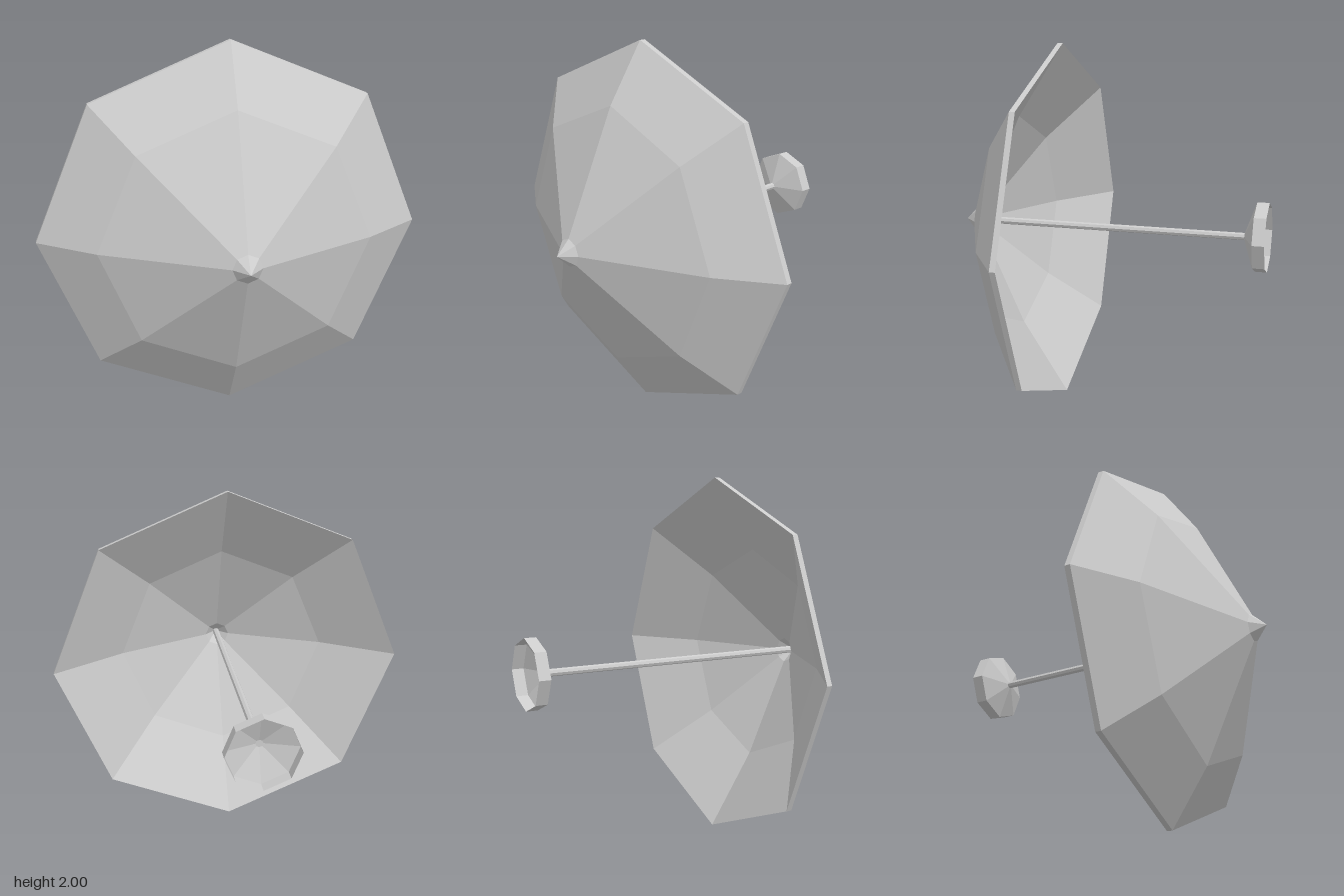
import * as THREE from 'three';

const SIDES = 8;

// Octagonal turned part around the z axis; profile points are [radius, z],
// listed from low to high z along the outside.
function turned(name, profile, side = THREE.FrontSide) {
  const points = profile.map(([r, z]) => new THREE.Vector2(r, z));
  const geometry = new THREE.LatheGeometry(points, SIDES);
  geometry.rotateX(Math.PI / 2);
  const material = new THREE.MeshStandardMaterial({ color: 0xcccccc, flatShading: true, side });
  const mesh = new THREE.Mesh(geometry, material);
  mesh.name = name;
  mesh.position.y = 1;
  return mesh;
}

export function createModel() {
  const model = new THREE.Group();
  model.name = 'parasol';

  // Shell: hollow inside first, then the rim band and the outer panels
  model.add(turned('canopy', [
    [0, 0.84], [0.07, 0.77], [0.6, 0.53], [1, 0.27],
    [1, 0.3], [0.7, 0.5], [0.075, 0.79],
  ]));

  // Pointed tip
  model.add(turned('finial', [[0.075, 0.79], [0, 0.865]]));

  // Straight pole, closed at both ends
  model.add(turned('shaft', [[0, -0.74], [0.02, -0.74], [0.02, 0.82], [0, 0.82]]));

  // Open, thin-walled cup at the end of the pole
  model.add(turned('handleCup', [
    [0.19, -0.865], [0.19, -0.8], [0.02, -0.74],
  ], THREE.DoubleSide));

  return model;
}
